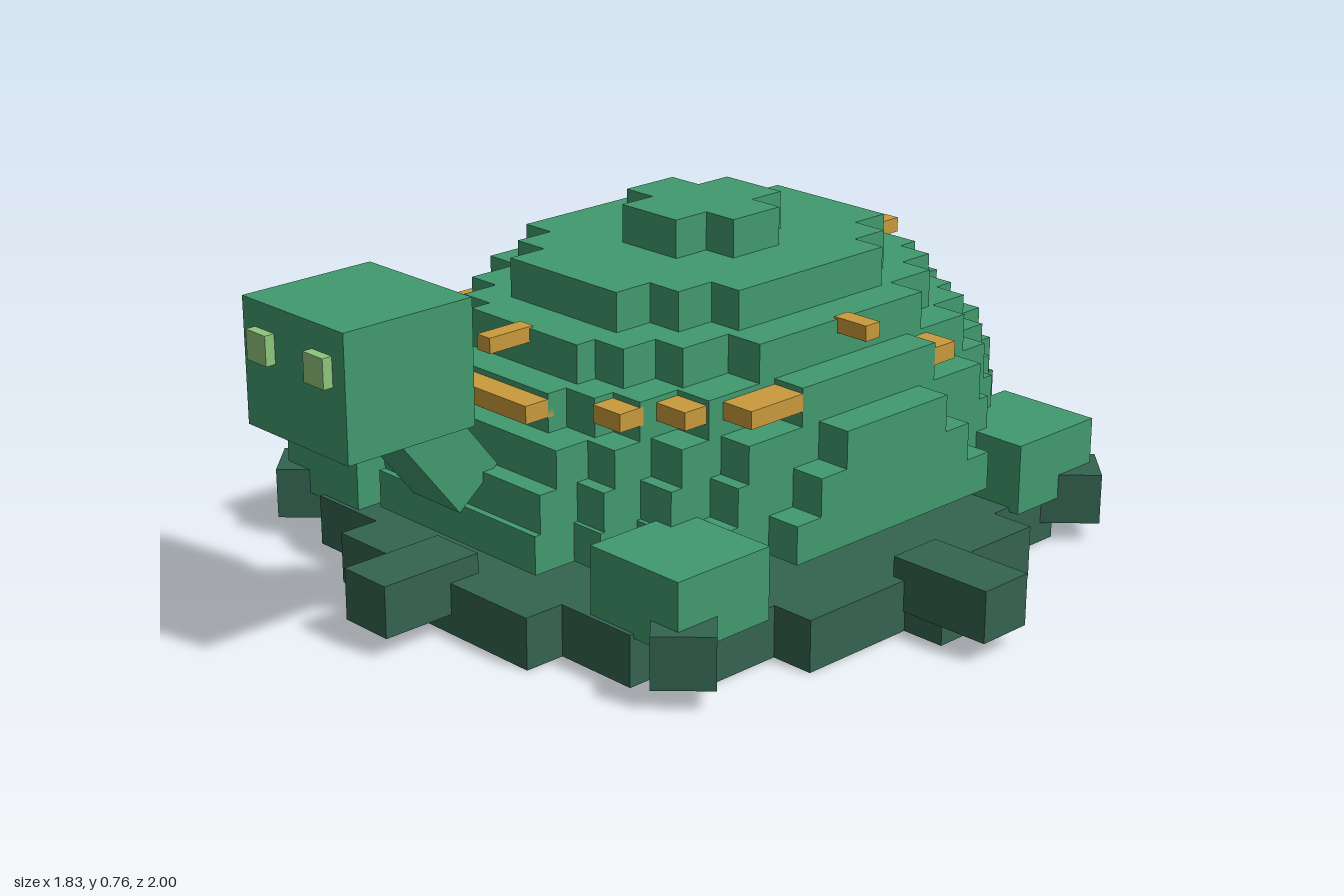
import * as THREE from 'three';

const mat = (name, color) => new THREE.MeshStandardMaterial({ name, color });

export function createModel() {
  const model = new THREE.Group();
  model.name = 'blockTurtle';
  const green = mat('shellGreen', 0x41996f);
  const dark = mat('darkGreen', 0x346350);
  const gold = mat('gold', 0xc99a3b);
  const pale = mat('paleGreen', 0x8fc57c);

  // Box given by its minimum and maximum on each axis
  const box = (name, material, [x0, x1], [y0, y1], [z0, z1], parent = model) => {
    const mesh = new THREE.Mesh(new THREE.BoxGeometry(x1 - x0, y1 - y0, z1 - z0), material);
    mesh.position.set((x0 + x1) / 2, (y0 + y1) / 2, (z0 + z1) / 2);
    mesh.name = name;
    parent.add(mesh);
    return mesh;
  };

  // Slab with a stair-stepped outline; steps are [halfWidth, halfDepth] from the middle outwards
  const slab = (name, material, steps, y0, y1, zCentre) => {
    const quarter = [];
    steps.forEach(([x, z], i) => {
      quarter.push([x, z], [x, i + 1 < steps.length ? steps[i + 1][1] : 0]);
    });
    quarter.pop();
    const back = [...quarter].reverse();
    const outline = [
      ...quarter,
      ...back.map(([x, z]) => [x, -z]),
      ...quarter.map(([x, z]) => [-x, -z]),
      ...back.map(([x, z]) => [-x, z]),
    ];
    const shape = new THREE.Shape(outline.map(([x, z]) => new THREE.Vector2(x, z)));
    const geo = new THREE.ExtrudeGeometry(shape, { depth: y1 - y0, bevelEnabled: false });
    geo.rotateX(-Math.PI / 2);
    const mesh = new THREE.Mesh(geo, material);
    mesh.position.set(0, y0, zCentre);
    mesh.name = name;
    model.add(mesh);
  };

  // Base disc
  slab('base', dark, [[0.3, 0.745], [0.5, 0.65], [0.6, 0.55], [0.7, 0.345], [0.8, 0.06]], 0, 0.115, -0.085);

  // Eight blocks around the rim of the base
  const rimCentre = -0.085;
  for (let i = 0; i < 8; i++) {
    const arm = new THREE.Group();
    arm.name = 'rimBlock' + (i + 1);
    arm.position.z = rimCentre;
    arm.rotation.y = i * Math.PI / 4;
    box('block', dark, [-0.065, 0.065], [0.045, 0.16], [0.67, 0.915], arm);
    model.add(arm);
  }

  // Shell, seven stepped layers from bottom to top
  const layers = [
    [[0.25, 0.715], [0.33, 0.61], [0.42, 0.51], [0.5, 0.41], [0.58, 0.3]],
    [[0.25, 0.7], [0.33, 0.6], [0.42, 0.5], [0.5, 0.39], [0.58, 0.23]],
    [[0.25, 0.655], [0.33, 0.57], [0.42, 0.47], [0.5, 0.36], [0.58, 0.155]],
    [[0.165, 0.6], [0.25, 0.55], [0.33, 0.5], [0.42, 0.395], [0.5, 0.205]],
    [[0.165, 0.52], [0.25, 0.47], [0.33, 0.38], [0.42, 0.25]],
    [[0.165, 0.41], [0.25, 0.315], [0.33, 0.22]],
    [[0.083, 0.16], [0.165, 0.07]],
  ];
  const heights = [0.17, 0.255, 0.34, 0.423, 0.508, 0.593, 0.68, 0.765];
  layers.forEach((steps, i) =>
    slab('shellLayer' + (i + 1), green, steps, heights[i], heights[i + 1], -0.125));

  // Legs and the paired gold bars on the shell
  const low = [0.457, 0.496];
  const high = [0.563, 0.597];
  for (const s of [1, -1]) {
    const side = s > 0 ? 'left' : 'right';
    const span = (a, b) => (s > 0 ? [a, b] : [-b, -a]);
    box(side + 'FrontLeg', green, span(0.375, 0.625), [0.105, 0.265], [0.302, 0.555]);
    box(side + 'BackLeg', green, span(0.375, 0.625), [0.105, 0.265], [-0.73, -0.48]);
    box(side + 'LongBar', gold, span(0.41, 0.5), low, [0.075, 0.23]);
    box(side + 'CornerBar', gold, span(0.33, 0.413), low, [0.26, 0.33]);
    box(side + 'FrontBar', gold, span(0.25, 0.33), low, [0.365, 0.43]);
    box(side + 'BackBar', gold, span(0.41, 0.5), low, [-0.395, -0.325]);
    box(side + 'UpperBar', gold, span(0.41, 0.5), high, [-0.15, -0.107]);
    // Eyes
    box(side + 'Eye', pale, span(0.06, 0.122), [0.637, 0.7], [0.97, 1]);
  }
  box('frontCentreBar', gold, [-0.165, 0.165], low, [0.46, 0.535]);
  box('upperFrontBar', gold, [-0.02, 0.02], high, [0.385, 0.503]);
  box('upperBackBar', gold, [-0.02, 0.02], high, [-0.75, -0.635]);

  // Slanted neck and cube head
  const neck = box('neck', green, [-0.075, 0.075], [0, 0.34], [-0.065, 0.065]);
  neck.rotation.x = 0.668;
  neck.position.set(0, 0.308 + 0.17 * 0.785, 0.587 + 0.17 * 0.62);
  box('head', green, [-0.16, 0.16], [0.487, 0.755], [0.663, 0.978]);

  return model;
}
